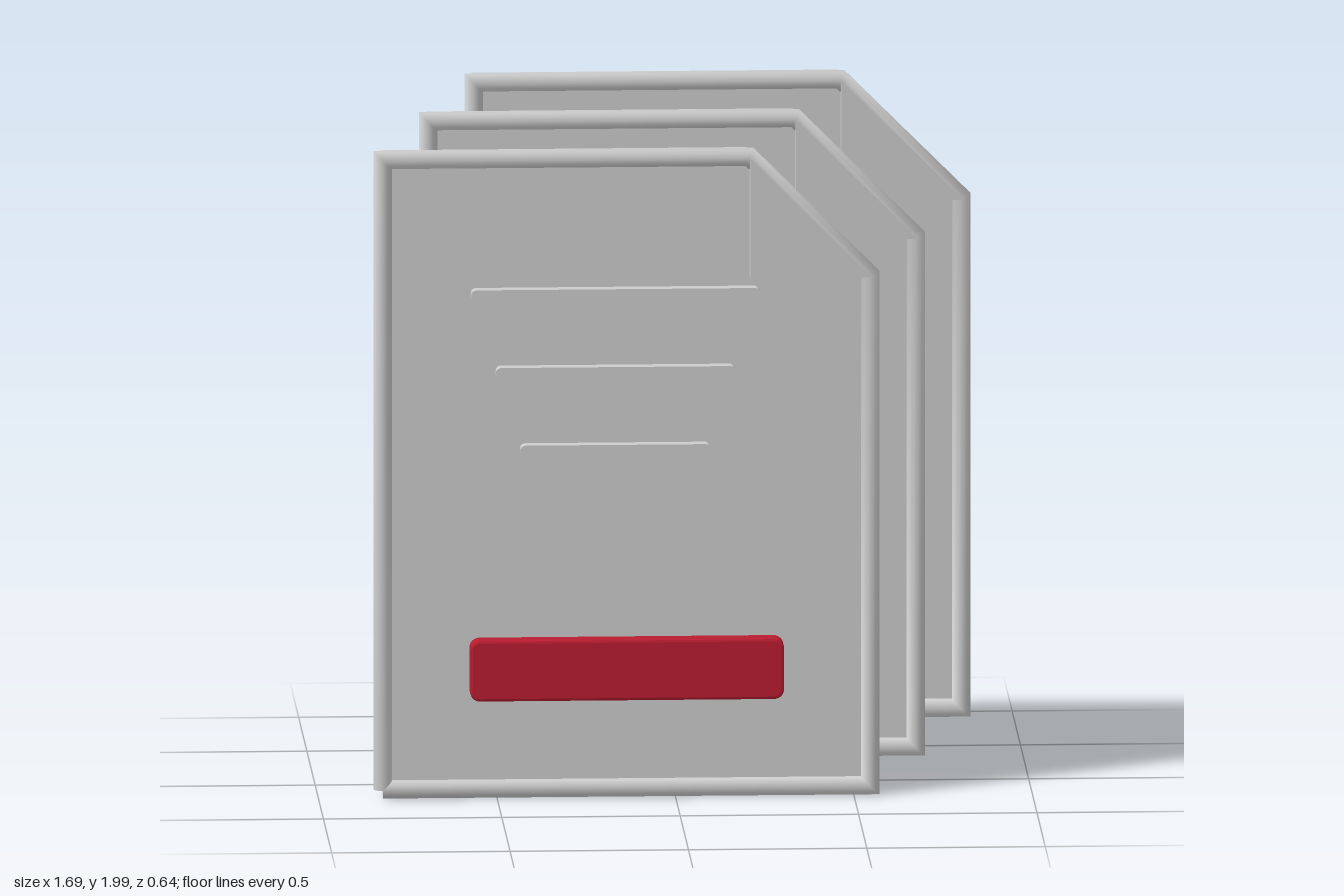
import * as THREE from 'three';

const grey = new THREE.MeshStandardMaterial({ color: 0xcccccc, side: THREE.DoubleSide });
const red = new THREE.MeshStandardMaterial({ color: 0xb81c30 });

// Page outline, counter-clockwise from the bottom left, with a cut top right corner
const W = 1.366, H = 1.795, CUT = 0.338;
const OUTLINE = [[0, 0], [W, 0], [W, H - CUT], [W - CUT, H], [0, H]];
const FOLD = [[W - CUT, H - CUT], [W, H - CUT], [W - CUT, H]];

function mesh(name, geometry, material = grey) {
  const m = new THREE.Mesh(geometry, material);
  m.name = name;
  return m;
}

// Flat prism of a polygon between two depths
function prism(points, z0, z1) {
  const shape = new THREE.Shape(points.map(([x, y]) => new THREE.Vector2(x, y)));
  return new THREE.ExtrudeGeometry(shape, { depth: z1 - z0, bevelEnabled: false }).translate(0, 0, z0);
}

// Rounded rectangle plate, optionally with a small bevel
function plate(x0, x1, y0, y1, z0, z1, r, bevel = 0) {
  const a = x0 + bevel, b = x1 - bevel, c = y0 + bevel, d = y1 - bevel;
  const s = new THREE.Shape();
  s.moveTo(a + r, c);
  s.absarc(b - r, c + r, r, -Math.PI / 2, 0);
  s.absarc(b - r, d - r, r, 0, Math.PI / 2);
  s.absarc(a + r, d - r, r, Math.PI / 2, Math.PI);
  s.absarc(a + r, c + r, r, Math.PI, Math.PI * 1.5);
  return new THREE.ExtrudeGeometry(s, {
    depth: z1 - z0 - 2 * bevel, curveSegments: 5, bevelEnabled: bevel > 0,
    bevelSize: bevel, bevelThickness: bevel, bevelSegments: 2,
  }).translate(0, 0, z0 + bevel);
}

// Round rim along the outline: mitred rings at the corners, square ends at the start
function rimGeometry(radius, sides = 12) {
  const pts = [...OUTLINE, OUTLINE[0]].map(([x, y]) => new THREE.Vector2(x, y));
  const outward = (i) => {
    const d = pts[i + 1].clone().sub(pts[i]).normalize();
    return new THREE.Vector2(d.y, -d.x);
  };
  const pos = [], idx = [], last = pts.length - 1;
  pts.forEach((p, i) => {
    const n0 = outward(Math.max(i - 1, 0)), n1 = outward(Math.min(i, last - 1));
    const m = n0.clone().add(n1).divideScalar(1 + n0.dot(n1));
    for (let k = 0; k < sides; k++) {
      const a = (k / sides) * Math.PI * 2, c = Math.cos(a) * radius;
      pos.push(p.x + m.x * c, p.y + m.y * c, Math.sin(a) * radius);
      if (i === last) continue;
      const q = i * sides + k, r = i * sides + ((k + 1) % sides);
      idx.push(q, q + sides, r, r, q + sides, r + sides);
    }
  });
  const g = new THREE.BufferGeometry();
  g.setAttribute('position', new THREE.Float32BufferAttribute(pos, 3));
  g.setIndex(idx);
  g.computeVertexNormals();
  return g;
}

// One page: thick slab, round rim and folded corner
function page() {
  const g = new THREE.Group();
  g.add(mesh('pageSlab', prism(OUTLINE, -0.144, 0)));
  g.add(mesh('pageRim', rimGeometry(0.026)));
  g.add(mesh('foldedCorner', prism(FOLD, 0.002, 0.05)));
  return g;
}

export function createModel() {
  const model = new THREE.Group();
  model.name = 'documentStack';

  // Three pages stepping back, right and up
  ['frontPage', 'middlePage', 'backPage'].forEach((name, i) => {
    const p = page();
    p.name = name;
    p.position.set(-0.82 + i * 0.1365, 0.035 + i * 0.0725, 0.207 - i * 0.191);
    model.add(p);
  });

  // Text bars, each shorter than the one above
  for (let i = 0; i < 3; i++) {
    const y = 1.459 - i * 0.222, x = 0.405 - i * 0.069;
    model.add(mesh('textBar', plate(-0.172 - x, -0.172 + x, y - 0.018, y + 0.018, 0.28, 0.317, 0.015)));
  }

  // Red label with softened edges
  model.add(mesh('label', plate(-0.58, 0.3, 0.303, 0.477, 0.258, 0.317, 0.02, 0.008), red));
  return model;
}
